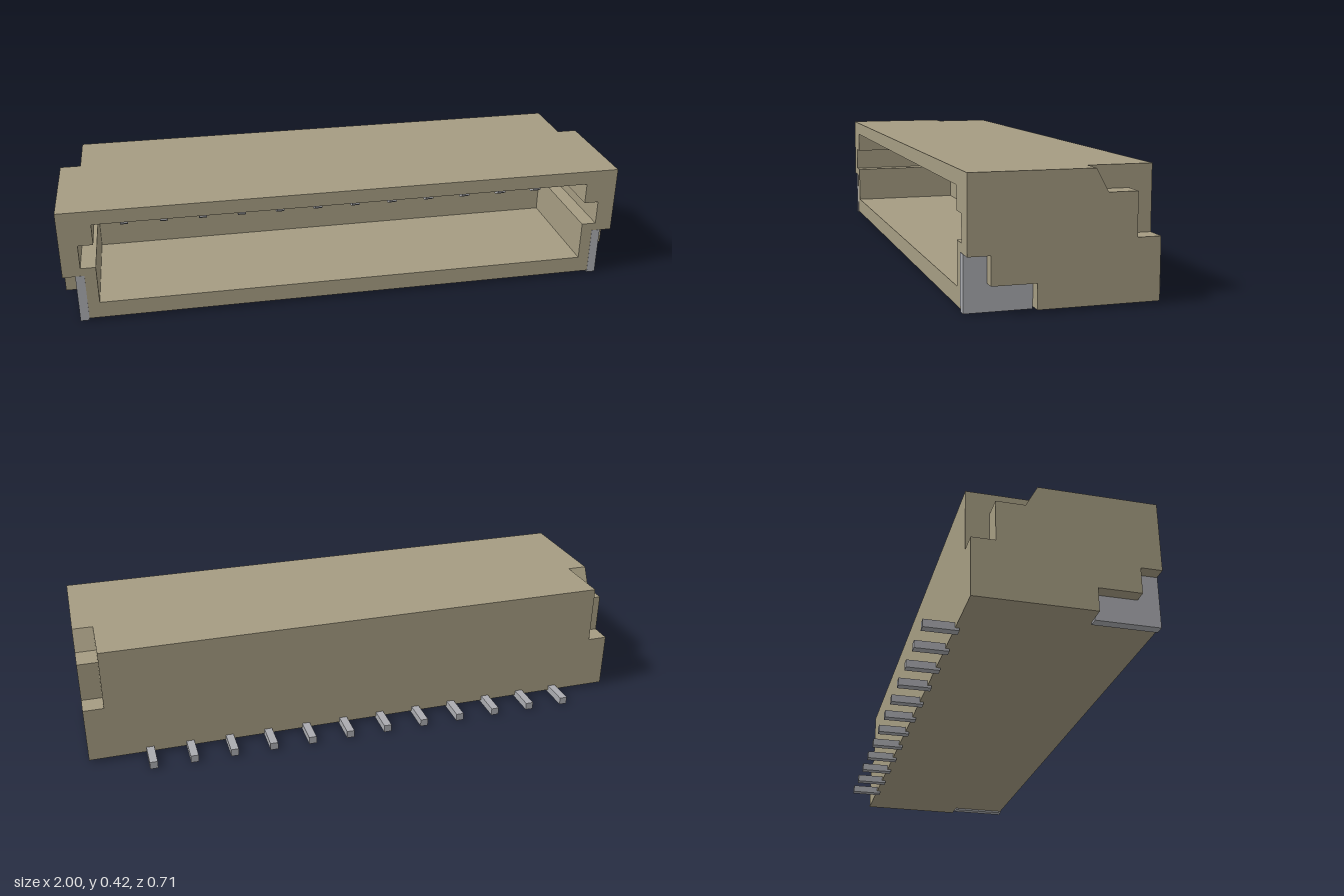
import * as THREE from 'three';

const plastic = new THREE.MeshStandardMaterial({ color: 0xa59c82 });
plastic.name = 'beigePlastic';
const metal = new THREE.MeshStandardMaterial({ color: 0xaaabb0 });
metal.name = 'tinnedMetal';

const FRONT = 0.353, BACK = -0.252, BOTTOM = 0.01, TOP = 0.423, CAVITY_BACK = -0.08;

// Extrudes a (z, y) outline along x, from x0 to x1
function slab(name, points, x0, x1, material) {
  const shape = new THREE.Shape(points.map(([z, y]) => new THREE.Vector2(z, y)));
  const geometry = new THREE.ExtrudeGeometry(shape, { depth: x1 - x0, bevelEnabled: false });
  geometry.rotateY(-Math.PI / 2).translate(x1, 0, 0);
  const mesh = new THREE.Mesh(geometry, material);
  mesh.name = name;
  return mesh;
}

// Side outline of the housing, with optional pocket, rear notch and lower front cut
function outline({ pocket, stepped }) {
  const points = stepped
    ? [[BACK, BOTTOM], [0.14, BOTTOM], [0.14, 0.09], [0.282, 0.09], [0.282, 0.18], [FRONT, 0.18]]
    : [[BACK, BOTTOM], [FRONT, BOTTOM]];
  if (pocket) {
    const [y0, y1] = pocket;
    points.push([FRONT, y0], [CAVITY_BACK, y0], [CAVITY_BACK, y1], [FRONT, y1]);
  }
  points.push([FRONT, TOP]);
  if (stepped) points.push([-0.04, TOP], [-0.08, 0.35], [-0.175, 0.35], [-0.175, 0.21], [BACK, 0.21]);
  else points.push([BACK, TOP]);
  return points;
}

export function createModel() {
  const model = new THREE.Group();
  model.name = 'connector';

  // Housing: hollow middle, then side walls with guide slots and stepped ends
  const housing = new THREE.Group();
  housing.name = 'housing';
  const slot = [0.21, 0.297];
  housing.add(slab('hollowMiddle', outline({ pocket: [0.07, 0.373] }), -0.885, 0.885, plastic));
  const layers = [
    ['slottedWall', 0.885, 0.928, { pocket: slot }],
    ['slotEnd', 0.928, 0.937, { pocket: slot, stepped: true }],
    ['endCheek', 0.937, 1, { stepped: true }],
  ];
  for (const side of [-1, 1]) {
    for (const [name, a, b, options] of layers) {
      housing.add(slab(name, outline(options), side > 0 ? a : -b, side > 0 ? b : -a, plastic));
    }
  }
  model.add(housing);

  // L-shaped solder tabs set into the lower front corners
  const tab = [[0.14, 0.003], [FRONT + 0.001, 0.003], [FRONT + 0.001, 0.181], [0.282, 0.181], [0.282, 0.09], [0.14, 0.09]];
  for (const side of [-1, 1]) {
    const [a, b] = [0.926, 0.957];
    model.add(slab('solderTab', tab, side > 0 ? a : -b, side > 0 ? b : -a, metal));
  }

  // Twelve pins: chamfered contact in the cavity and flat solder tail behind
  const contact = [[-0.1, 0.245], [0.11, 0.245], [0.14, 0.262], [0.14, 0.308], [-0.1, 0.308]];
  const tail = [[-0.353, 0.001], [-0.238, 0.001], [-0.238, 0.028], [-0.353, 0.028]];
  const pins = new THREE.Group();
  pins.name = 'pins';
  for (let i = 0; i < 12; i++) {
    const x = (i - 5.5) * 0.1428;
    pins.add(slab('contact', contact, x - 0.014, x + 0.014, metal));
    pins.add(slab('solderTail', tail, x - 0.014, x + 0.014, metal));
  }
  model.add(pins);
  return model;
}
